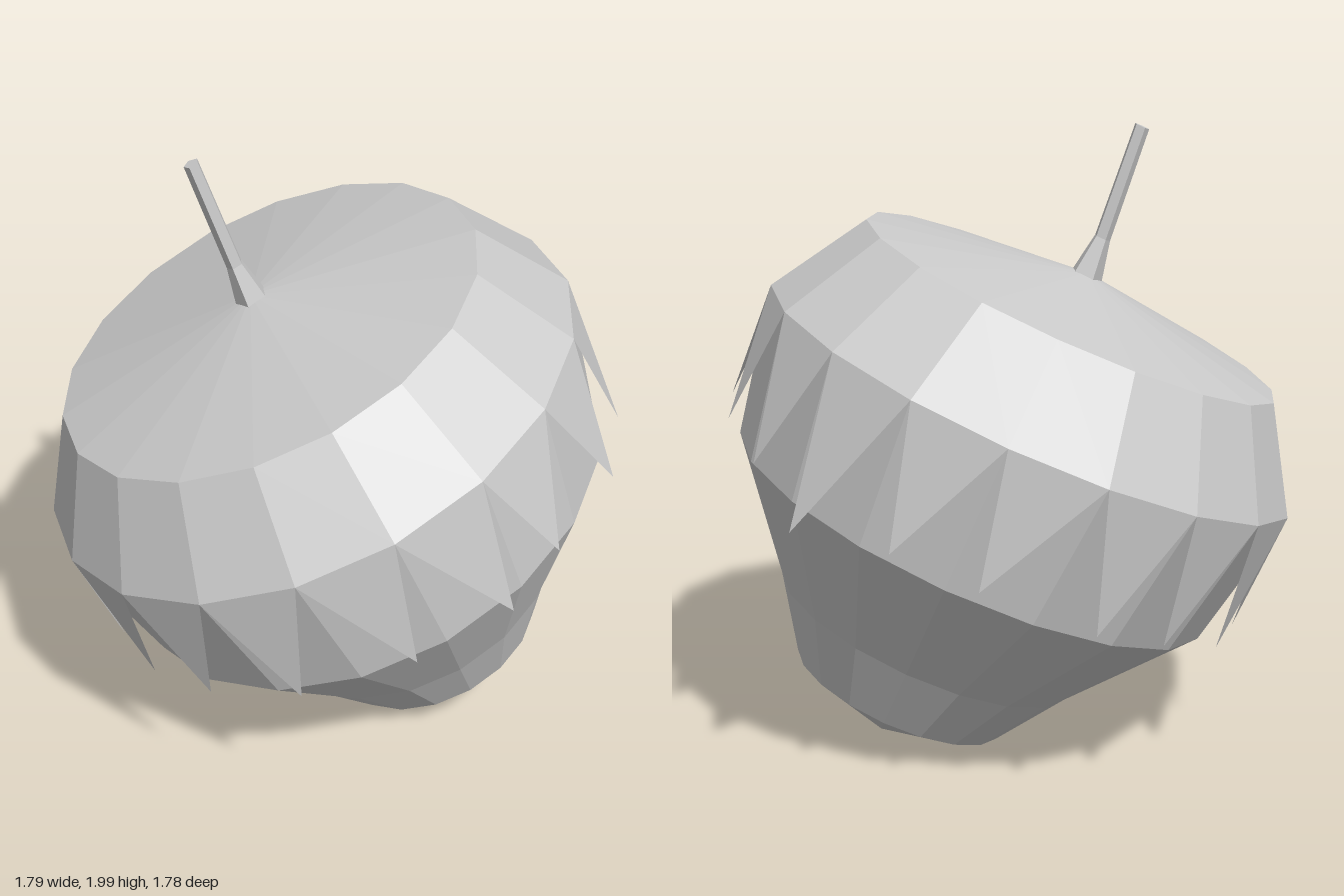
import * as THREE from 'three';

const SIDES = 18;
const RIM = 0.898; // radius where cap meets body

const material = new THREE.MeshStandardMaterial({
  color: 0xcccccc, flatShading: true, side: THREE.DoubleSide,
});

function addMesh(parent, name, geometry) {
  const mesh = new THREE.Mesh(geometry, material);
  mesh.name = name;
  parent.add(mesh);
}

// Faceted solid of revolution, profile listed as [radius, height] from bottom to top
function turned(profile) {
  const points = profile.map(([r, y]) => new THREE.Vector2(r, y));
  return new THREE.LatheGeometry(points, SIDES, Math.PI / 2);
}

// Ring of pointed leaf tips hanging from the rim, one per facet, slightly irregular
function leafTips() {
  const sway = [2.6, -1.5, 1.6, -4, -3, 1, 2, 1, -2, 2, -1, 2, -1, 4, 2, 2.6, -1, -2.6];
  const drop = [0.42, 0.45, 0.41, 0.457, 0.43, 0.425, 0.41, 0.43, 0.43, 0.42, 0.44, 0.42,
    0.43, 0.42, 0.43, 0.53, 0.43, 0.4];
  const at = (degrees, r, y) => {
    const a = THREE.MathUtils.degToRad(degrees);
    return [r * Math.cos(a), y, r * Math.sin(a)];
  };
  const step = 360 / SIDES;
  const positions = [];
  for (let k = 0; k < SIDES; k++) {
    positions.push(
      ...at(k * step, RIM, 0),
      ...at((k + 1) * step, RIM, 0),
      ...at((k + 0.5) * step + sway[k], 0.89, -drop[k]),
    );
  }
  const geometry = new THREE.BufferGeometry();
  geometry.setAttribute('position', new THREE.Float32BufferAttribute(positions, 3));
  geometry.computeVertexNormals();
  return geometry;
}

// Five-sided stem: flared foot, narrow neck, slightly bent shaft
function stemGeometry() {
  const levels = [
    { x: 0, y: 0.415, r: 0.053 },
    { x: 0.003, y: 0.543, r: 0.027 },
    { x: 0.034, y: 0.91, r: 0.025 },
  ];
  const geometry = new THREE.CylinderGeometry(1, 1, 2, 5, 2, false, -Math.PI / 2);
  const pos = geometry.attributes.position;
  for (let i = 0; i < pos.count; i++) {
    const { x, y, r } = levels[Math.round(pos.getY(i)) + 1];
    pos.setXYZ(i, x + pos.getX(i) * r, y, pos.getZ(i) * r);
  }
  geometry.computeVertexNormals();
  return geometry;
}

export function createModel() {
  const model = new THREE.Group();
  model.name = 'nut';

  // Everything leans together, with the rim centre as pivot
  const leaning = new THREE.Group();
  leaning.name = 'leaningNut';
  leaning.position.set(-0.08, 1.145, -0.015);
  leaning.rotation.z = THREE.MathUtils.degToRad(23.8);
  model.add(leaning);

  addMesh(leaning, 'body', turned([
    [0, -1.241], [0.36, -1.087], [0.508, -0.861], [0.808, -0.478], [RIM, 0],
  ]));
  addMesh(leaning, 'cap', turned([[RIM, 0], [0.705, 0.307], [0, 0.424]]));
  addMesh(leaning, 'leafTips', leafTips());
  addMesh(leaning, 'stem', stemGeometry());

  return model;
}
